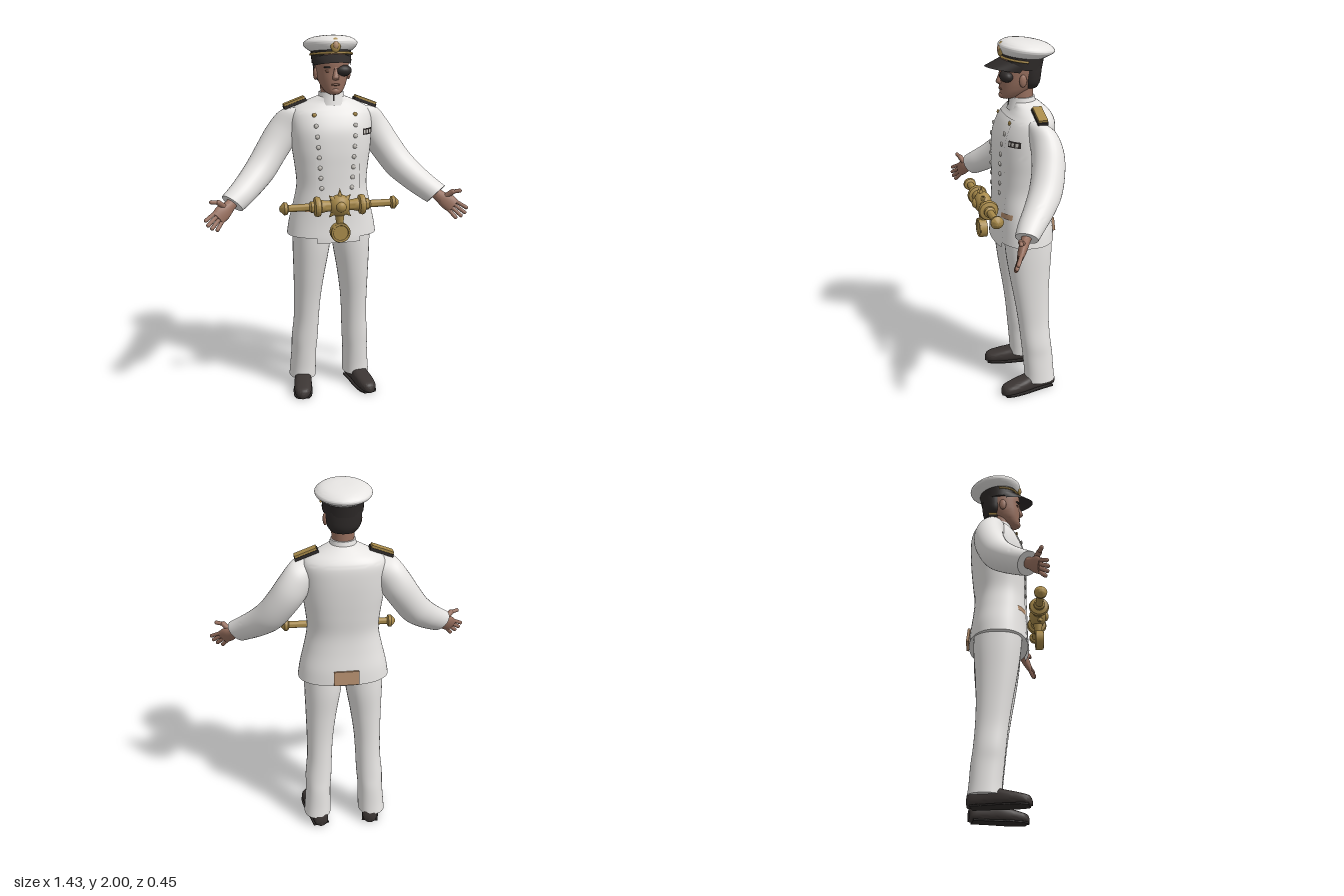
import * as THREE from 'three';
import { toCreasedNormals } from 'three/addons/utils/BufferGeometryUtils.js';

const V = (x, y, z) => new THREE.Vector3(x, y, z);
const mat = (name, color, side = THREE.FrontSide) => {
  const m = new THREE.MeshStandardMaterial({ color, side });
  m.name = name;
  return m;
};

// Smoothly subdivide rings [x, y, z, halfWidth, halfDepth]
function smooth(rings, sub = 5) {
  const out = [], n = rings.length - 1;
  for (let i = 0; i < n; i++) {
    const [p, q, r, s] = [-1, 0, 1, 2].map(k => rings[Math.min(n, Math.max(0, i + k))]);
    for (let k = 0; k < sub; k++) {
      const t = k / sub;
      out.push(q.map((_, c) => 0.5 * (2 * q[c] + (r[c] - p[c]) * t
        + (2 * p[c] - 5 * q[c] + 4 * r[c] - s[c]) * t * t
        + (3 * q[c] - p[c] - 3 * r[c] + s[c]) * t * t * t)));
    }
  }
  out.push(rings[n]);
  return out;
}

// Capped skin over super-elliptic rings; w is the travel direction, u the width direction
function loft(rings, { w = V(0, 1, 0), u = V(1, 0, 0), power = 2, seg = 32, crease = 0.9 } = {}) {
  const v = u.clone().cross(w).normalize(), pos = [], idx = [];
  const bend = c => Math.sign(c) * Math.abs(c) ** (2 / power);
  rings.forEach(([x, y, z, a, b]) => {
    for (let j = 0; j < seg; j++) {
      const t = j / seg * Math.PI * 2;
      const p = V(x, y, z).addScaledVector(u, a * bend(Math.cos(t))).addScaledVector(v, b * bend(Math.sin(t)));
      pos.push(p.x, p.y, p.z);
    }
  });
  const last = rings.length - 1, c0 = rings.length * seg;
  pos.push(...rings[0].slice(0, 3), ...rings[last].slice(0, 3));
  for (let j = 0; j < seg; j++) {
    const k = (j + 1) % seg;
    for (let i = 0; i < last; i++) {
      const a = i * seg + j, b = a + seg, c = i * seg + k, d = c + seg;
      idx.push(a, b, c, b, d, c);
    }
    idx.push(c0, j, k, c0 + 1, last * seg + k, last * seg + j);
  }
  const g = new THREE.BufferGeometry();
  g.setAttribute('position', new THREE.Float32BufferAttribute(pos, 3));
  g.setIndex(idx);
  return toCreasedNormals(g, crease);
}

export function createModel() {
  const root = new THREE.Group();
  const white = mat('whiteCloth', 0xe6e4e2, THREE.DoubleSide);
  const skin = mat('skin', 0x98705f);
  const lip = mat('darkSkin', 0x74503f);
  const black = mat('black', 0x2e2a29, THREE.DoubleSide);
  const leather = mat('shoeLeather', 0x3b3533);
  const gold = mat('gold', 0xa88a4a, THREE.DoubleSide);
  const tan = mat('tan', 0xb18c6c, THREE.DoubleSide);
  const silver = mat('silver', 0xc4c0ba);

  const add = (name, geo, m, parent = root) => {
    const mesh = new THREE.Mesh(geo, m);
    mesh.name = name;
    parent.add(mesh);
    return mesh;
  };
  const blob = (name, m, p, s, parent = root) => {
    const mesh = add(name, new THREE.SphereGeometry(1, 20, 14), m, parent);
    mesh.position.set(...p);
    mesh.scale.set(...s);
    return mesh;
  };
  // Capsule from p to q
  const rod = (name, m, p, q, r) => {
    const d = q.clone().sub(p);
    const mesh = add(name, new THREE.CapsuleGeometry(r, d.length(), 5, 10), m);
    mesh.position.copy(p).add(q).multiplyScalar(0.5);
    mesh.quaternion.setFromUnitVectors(V(0, 1, 0), d.normalize());
  };

  // Jacket
  const POW = 2.3;
  const body = smooth([
    [0, 0.925, -0.053, 0.246, 0.16], [0, 1.0, -0.053, 0.234, 0.155], [0, 1.1, -0.047, 0.21, 0.147],
    [0, 1.2, -0.045, 0.192, 0.142], [0, 1.3, -0.05, 0.2, 0.147], [0, 1.4, -0.055, 0.214, 0.152],
    [0, 1.5, -0.063, 0.222, 0.15], [0, 1.58, -0.078, 0.22, 0.132], [0, 1.62, -0.083, 0.19, 0.108],
    [0, 1.65, -0.076, 0.13, 0.084], [0, 1.675, -0.06, 0.07, 0.068]]);
  add('jacket', loft(body, { power: POW, seg: 48 }), white);
  const frontZ = (x, y) => {
    let i = body.findIndex(r => r[1] > y);
    i = i < 0 ? body.length - 1 : Math.max(1, i);
    const f = THREE.MathUtils.clamp((y - body[i - 1][1]) / (body[i][1] - body[i - 1][1]), 0, 1);
    const [, , z, a, b] = body[i].map((c, k) => THREE.MathUtils.lerp(body[i - 1][k], c, f));
    return z + b * Math.max(0, 1 - Math.abs(x / a) ** POW) ** (1 / POW);
  };
  // Thin cloth patch lying on the jacket front
  const patch = (name, m, x0, x1, y0, y1, lift) => {
    const g = new THREE.PlaneGeometry(x1 - x0, y1 - y0, 12, 40);
    g.translate((x0 + x1) / 2, (y0 + y1) / 2, 0);
    const p = g.attributes.position;
    for (let i = 0; i < p.count; i++) p.setZ(i, frontZ(p.getX(i), p.getY(i)) + lift);
    g.computeVertexNormals();
    add(name, g, m);
  };
  patch('frontFlap', white, -0.11, 0.13, 0.9, 1.605, 0.006);
  for (const s of [-1, 1]) {
    patch('pocketTrim', tan, s * 0.145 - 0.035, s * 0.145 + 0.035, 1.07, 1.1, 0.007);
    for (let i = 0; i < 8; i++) {
      const y = 1.585 - i * 0.055, x = s * (0.11 - i * 0.004);
      blob('button', i ? silver : gold, [x, y, frontZ(x, y) + 0.007], [0.012, 0.012, 0.007]);
    }
  }
  patch('ribbonBar', black, 0.15, 0.205, 1.475, 1.508, 0.006);
  for (let i = 0; i < 3; i++) patch('ribbon', silver, 0.155 + i * 0.017, 0.165 + i * 0.017, 1.482, 1.5, 0.009);
  const tag = add('backTag', new THREE.BoxGeometry(0.135, 0.075, 0.014), tan);
  tag.position.set(0, 0.973, -0.217);
  tag.rotation.x = 0.12;

  // Collar, neck and head
  add('collar', loft([[0, 1.63, -0.055, 0.082, 0.082], [0, 1.67, -0.053, 0.07, 0.072], [0, 1.698, -0.052, 0.066, 0.067]]), white);
  const gap = add('collarGap', new THREE.BoxGeometry(0.008, 0.05, 0.008), black);
  gap.position.set(0, 1.67, 0.018);
  add('neck', loft([[0, 1.66, -0.05, 0.057, 0.06], [0, 1.76, -0.045, 0.06, 0.065]]), skin);
  add('head', loft(smooth([
    [0, 1.69, 0.025, 0.022, 0.026], [0, 1.703, 0.01, 0.043, 0.055], [0, 1.735, -0.012, 0.065, 0.078],
    [0, 1.775, -0.03, 0.08, 0.097], [0, 1.815, -0.036, 0.087, 0.102], [0, 1.86, -0.04, 0.09, 0.108],
    [0, 1.91, -0.04, 0.085, 0.1]]), { power: 2.15, crease: 1.2 }), skin);
  add('hair', loft(smooth([[0, 1.745, -0.082, 0.06, 0.05], [0, 1.775, -0.085, 0.083, 0.06],
    [0, 1.82, -0.085, 0.091, 0.066], [0, 1.88, -0.085, 0.094, 0.07]])), black);
  add('nose', loft(smooth([[0, 1.768, 0.062, 0.015, 0.014], [0, 1.78, 0.068, 0.018, 0.019],
    [0, 1.81, 0.062, 0.011, 0.014], [0, 1.835, 0.058, 0.009, 0.01]]), { seg: 16 }), skin);
  blob('mouth', lip, [0, 1.744, 0.063], [0.025, 0.006, 0.008]);
  blob('chin', skin, [0, 1.71, 0.05], [0.026, 0.02, 0.022]);
  for (const s of [-1, 1]) blob('ear', skin, [s * 0.089, 1.795, -0.032], [0.012, 0.033, 0.02]);
  blob('eye', lip, [-0.036, 1.814, 0.052], [0.018, 0.008, 0.008]);
  blob('eyebrow', black, [-0.038, 1.834, 0.053], [0.025, 0.005, 0.012]);
  blob('eyePatch', black, [0.042, 1.815, 0.042], [0.049, 0.031, 0.036]);

  // Cap
  const cap = new THREE.Group();
  cap.name = 'cap';
  cap.position.set(0, 1.87, -0.05);
  cap.rotation.x = -0.13;
  root.add(cap);
  add('capBand', loft([[0, -0.02, 0, 0.104, 0.108], [0, 0.05, 0, 0.108, 0.112]]), black, cap);
  add('capCrown', loft(smooth([[0, 0.04, 0, 0.109, 0.113], [0, 0.055, -0.006, 0.128, 0.13], [0, 0.073, -0.014, 0.143, 0.146],
    [0, 0.09, -0.014, 0.141, 0.143], [0, 0.11, -0.01, 0.11, 0.112], [0, 0.12, -0.005, 0.06, 0.06], [0, 0.122, 0, 0.01, 0.01]]),
    { seg: 48, crease: 1.4 }), white, cap);
  const visor = new THREE.PlaneGeometry(1, 1, 32, 6), vp = visor.attributes.position;
  for (let i = 0; i < vp.count; i++) {
    const t = vp.getX(i) * 2.8, r = 0.5 - vp.getY(i), c = Math.cos(t);
    vp.setXYZ(i, Math.sin(t) * (0.107 - 0.008 * r), 0.02 - 0.035 * (1 - c) - r * (0.052 - 0.03 * (1 - c)), c * (0.108 + 0.085 * r));
  }
  visor.computeVertexNormals();
  add('visor', visor, black, cap);
  const strap = add('capStrap', new THREE.TorusGeometry(0.112, 0.006, 8, 40, Math.PI).rotateX(Math.PI / 2), gold, cap);
  strap.position.y = 0.024;
  blob('capBadge', gold, [0, 0.062, 0.12], [0.028, 0.038, 0.014], cap);
  blob('badgeCentre', tan, [0, 0.062, 0.13], [0.014, 0.02, 0.008], cap);

  for (const s of [-1, 1]) {
    const flip = rings => rings.map(([x, ...r]) => [s * x, ...r]);

    // Sleeve
    const w = V(s * 0.6, -0.69, 0.4).normalize();
    const u = w.clone().cross(V(0, 0, 1)).normalize();
    add('sleeve', loft(smooth(flip([
      [0.165, 1.58, -0.09, 0.045, 0.06], [0.21, 1.545, -0.1, 0.078, 0.083], [0.265, 1.465, -0.11, 0.088, 0.088],
      [0.325, 1.375, -0.095, 0.086, 0.086], [0.385, 1.29, -0.06, 0.083, 0.084], [0.45, 1.225, -0.005, 0.076, 0.077],
      [0.51, 1.175, 0.05, 0.07, 0.068], [0.558, 1.14, 0.088, 0.066, 0.058]])), { w, u }), white);

    // Hand with spread fingers and thumb
    const d = V(s * 0.66, -0.57, 0.48).normalize();
    const side = V(s * 0.65, 0.75, 0).normalize();
    add('palm', loft(smooth(flip([[0.535, 1.165, 0.07, 0.03, 0.026], [0.575, 1.13, 0.102, 0.032, 0.024],
      [0.61, 1.105, 0.125, 0.044, 0.022], [0.642, 1.078, 0.146, 0.04, 0.015]])), { w: d, u: side, seg: 20 }), skin);
    for (let i = 0; i < 4; i++) {
      const k = i - 1.5;
      const base = V(s * 0.637, 1.082, 0.143).addScaledVector(side, k * 0.02);
      const tip = base.clone().addScaledVector(d, [0.052, 0.068, 0.072, 0.062][i]).addScaledVector(side, k * 0.006);
      rod('finger', skin, base, tip, 0.0105);
    }
    rod('thumb', skin, V(s * 0.6, 1.13, 0.118), V(s * 0.635, 1.16, 0.14), 0.015);
    rod('thumbTip', skin, V(s * 0.635, 1.16, 0.14), V(s * 0.672, 1.166, 0.15), 0.011);

    // Shoulder board
    const board = new THREE.Group();
    board.name = 'shoulderBoard';
    board.position.set(s * 0.195, 1.641, -0.09);
    board.rotation.z = -s * 0.36;
    root.add(board);
    add('boardBase', new THREE.BoxGeometry(0.128, 0.016, 0.054), black, board).position.y = -0.008;
    add('boardTop', new THREE.BoxGeometry(0.12, 0.016, 0.048), gold, board).position.y = 0.004;

    // Trouser leg
    add('trouserLeg', loft(smooth(flip([
      [0.157, 0.06, -0.118, 0.075, 0.087], [0.154, 0.12, -0.114, 0.073, 0.084], [0.15, 0.22, -0.106, 0.07, 0.085],
      [0.146, 0.3, -0.097, 0.073, 0.084], [0.138, 0.42, -0.086, 0.07, 0.086], [0.133, 0.55, -0.075, 0.074, 0.094],
      [0.124, 0.7, -0.065, 0.086, 0.11], [0.113, 0.85, -0.06, 0.101, 0.126], [0.108, 0.98, -0.055, 0.106, 0.13]])),
      { power: 2.2 }), white);

    // Shoe, toe turned outward
    const toe = V(s * 0.2, 0, 1).normalize();
    const shoe = [[0, 0.025, 0.06], [0.06, 0.042, 0.085], [0.35, 0.044, 0.1], [0.6, 0.05, 0.082], [0.85, 0.046, 0.062], [0.96, 0.032, 0.05], [1, 0.012, 0.03]]
      .map(([t, a, h]) => [s * (0.138 + 0.058 * t), h / 2 + 0.003, -0.203 + 0.317 * t, a, h / 2]);
    add('shoe', loft(smooth(shoe), { w: toe, u: V(toe.z, 0, -toe.x), power: 2.6, crease: 1.2 }), leather);
    const sole = shoe.slice(1, -1).map(([x, , z, a]) => [x, 0.006, z, a + 0.004, 0.006]);
    add('sole', loft(smooth(sole), { w: toe, u: V(toe.z, 0, -toe.x), power: 6 }), black);
  }

  // Golden hilt held before the waist
  const hilt = new THREE.Group();
  hilt.name = 'goldenHilt';
  hilt.position.set(0, 1.12, 0.165);
  hilt.rotation.z = 0.012;
  root.add(hilt);
  const half = [[0.025, 0], [0.03, 0.075], [0.034, 0.09], [0.034, 0.1], [0.05, 0.106], [0.055, 0.12], [0.05, 0.134], [0.03, 0.14],
    [0.03, 0.155], [0.02, 0.165], [0.019, 0.275], [0.033, 0.282], [0.035, 0.298], [0.022, 0.31], [0.012, 0.32], [0.001, 0.322]];
  const profile = [...half.slice(1).reverse().map(([r, y]) => [r, -y]), ...half].map(p => new THREE.Vector2(...p));
  add('crossBar', toCreasedNormals(new THREE.LatheGeometry(profile, 20), 0.7).rotateZ(Math.PI / 2), gold, hilt);
  blob('hub', gold, [0, 0, 0], [0.06, 0.06, 0.048], hilt);
  blob('hubBoss', gold, [0, 0, 0.038], [0.028, 0.028, 0.022], hilt);
  for (let i = 0; i < 8; i++) {
    const a = i * Math.PI / 4;
    const spike = add('hubSpike', new THREE.ConeGeometry(0.019, i ? 0.04 : 0.06, 8), gold, hilt);
    spike.position.set(-Math.sin(a) * 0.065, Math.cos(a) * 0.065, 0.008);
    spike.rotation.z = a;
  }
  add('pendantNeck', new THREE.CylinderGeometry(0.026, 0.018, 0.06, 16), gold, hilt).position.set(0, -0.075, 0);
  const disc = new THREE.CylinderGeometry(0.053, 0.053, 0.038, 28).rotateX(Math.PI / 2);
  add('pendantDisc', disc, gold, hilt).position.set(0, -0.145, 0.005);
  add('discRim', new THREE.TorusGeometry(0.046, 0.006, 8, 28), gold, hilt).position.set(0, -0.145, 0.024);
  return root;
}
